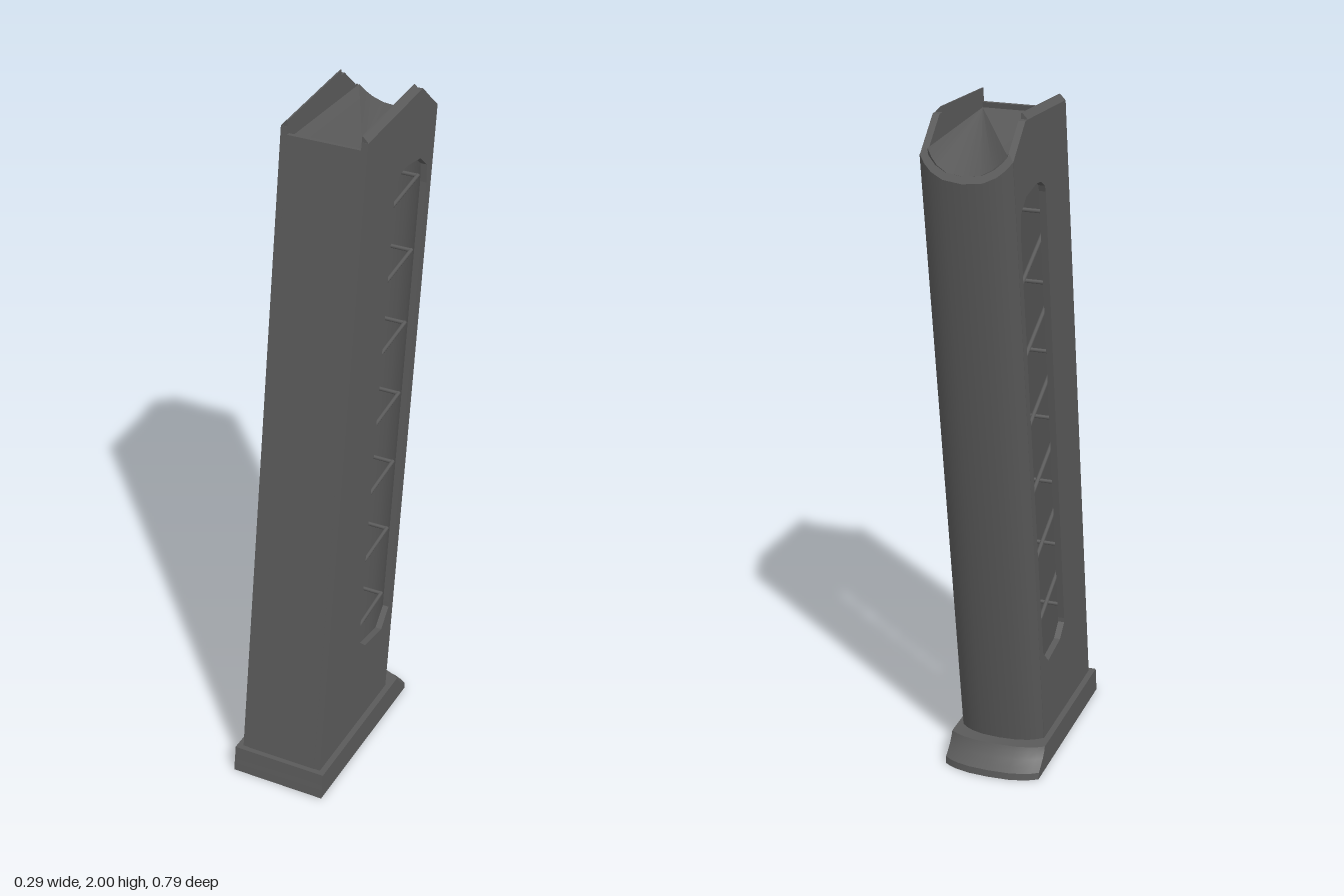
import * as THREE from 'three';
import { toCreasedNormals } from 'three/addons/utils/BufferGeometryUtils.js';

const LEAN = 0.1557; // backward lean of the body per unit of height
const W = 0.127, WALL = 0.019, SKIN = 0.012;
const at = (x, y, u) => new THREE.Vector3(x, y, u - LEAN * y);

// Skin between equal rings of points, with fan caps at both ends
function loft(rings) {
  const n = rings[0].length, tris = [];
  for (let i = 0; i < rings.length - 1; i++) {
    for (let j = 0; j < n; j++) {
      const k = (j + 1) % n, a = rings[i][j], b = rings[i][k], c = rings[i + 1][k], d = rings[i + 1][j];
      tris.push([a, b, c], [a, c, d]);
    }
  }
  const first = rings[0], last = rings[rings.length - 1];
  for (let j = 1; j < n - 1; j++) {
    tris.push([first[0], first[j + 1], first[j]], [last[0], last[j], last[j + 1]]);
  }
  // make the faces point outward
  const mid = first[0].clone().add(last[Math.floor(n / 2)]).multiplyScalar(0.5);
  const rel = (p) => p.clone().sub(mid);
  let volume = 0;
  for (const [a, b, c] of tris) volume += rel(a).dot(rel(b).cross(rel(c)));
  const points = tris.flatMap(([a, b, c]) => (volume < 0 ? [a, c, b] : [a, b, c]));
  const g = new THREE.BufferGeometry().setFromPoints(points);
  g.computeVertexNormals();
  return toCreasedNormals(g, 0.5);
}

// Side profile given as [z, y], extruded across x from xMin to xMax
function across(profile, xMin, xMax, hole) {
  const pts = (list) => list.map(([z, y]) => new THREE.Vector2(z, y));
  const shape = new THREE.Shape(pts(profile));
  if (hole) shape.holes.push(new THREE.Path(pts(hole)));
  const g = new THREE.ExtrudeGeometry(shape, { depth: xMax - xMin, bevelEnabled: false });
  return g.rotateY(-Math.PI / 2).translate(xMax, 0, 0);
}

// Rounded back: x as a fraction of half width, bulge as a fraction of its depth
const BACK = [[1, 0], [0.87, 0.34], [0.7, 0.64], [0.43, 0.9], [0, 1],
  [-0.43, 0.9], [-0.7, 0.64], [-0.87, 0.34], [-1, 0]];

export function createModel() {
  const group = new THREE.Group();
  const steel = new THREE.MeshStandardMaterial({ color: 0x5a5a5a });
  steel.name = 'dark grey steel';
  const add = (name, geometry) => {
    const m = new THREE.Mesh(geometry, steel);
    m.name = name;
    group.add(m);
  };

  // Side walls with a long window, and the folded lips on top
  const wall = [[0.365, 0.07], [0.072, 1.962], [-0.245, 1.984], [-0.265, 1.984], [-0.36, 1.9], [-0.079, 0.07]];
  const window = [[0.105, 0.385], [-0.095, 1.752], [-0.102, 1.77], [-0.135, 1.79], [-0.175, 1.795],
    [-0.257, 1.782], [-0.3, 1.745], [-0.3, 1.69], [-0.097, 0.385], [-0.095, 0.368],
    [-0.045, 0.318], [0.066, 0.334], [0.105, 0.371]];
  for (const side of [1, -1]) {
    const xs = [side * W, side * (W - WALL)].sort((a, b) => a - b);
    add(side > 0 ? 'leftWall' : 'rightWall', across(wall, xs[0], xs[1], window));
    const lip = (y, z) => [[W, 0], [W - WALL, 0], [W - WALL, 0.016], [W - 0.015, 0.016]]
      .map(([x, dy]) => new THREE.Vector3(side * x, y + dy, z));
    add(side > 0 ? 'leftLip' : 'rightLip', loft([lip(1.962, 0.071), lip(1.984, -0.246)]));
  }

  // Front wall
  const inner = W - WALL;
  const frontU = 0.377;
  const zAt = (u, y) => u - LEAN * y;
  add('frontWall', across([
    [zAt(frontU, 0.07), 0.07], [zAt(frontU, 1.94), 1.94],
    [zAt(frontU - SKIN, 1.94), 1.94], [zAt(frontU - SKIN, 0.07), 0.07],
  ], -inner, inner));

  // Rounded back wall with a slanted top edge
  const backTop = (u) => Math.min(1.925, 1.9 + 1.46 * (u + 0.067));
  add('backWall', loft(BACK.map(([fx, b]) => {
    const x = fx * W, u = -0.067 - 0.041 * b, xi = fx * (W - SKIN), ui = u + SKIN;
    return [at(x, 0.07, u), at(xi, 0.07, ui), at(xi, backTop(ui), ui), at(x, backTop(u), u)];
  })));

  // Follower closing the top
  const followerRing = (top) => [[inner, 0.364], ...BACK.map(([fx, b]) => [fx * inner, -0.056 - 0.04 * b]), [-inner, 0.364]]
    .map(([x, u]) => at(x, top ? backTop(u) : 1.8, u));
  add('follower', loft([followerRing(false), followerRing(true)]));

  // Zigzag coil spring
  const coil = [];
  for (let k = 0; k < 8; k++) {
    const y = 1.7 - 0.2167 * k;
    coil.push(at(-0.095, y, -0.045), at(0.095, y, -0.045), at(0.095, y - 0.05, 0.31), at(-0.095, y - 0.05, 0.31));
  }
  coil.unshift(at(-0.095, 1.84, 0.25));
  const path = new THREE.CurvePath();
  for (let i = 0; i < coil.length - 1; i++) path.add(new THREE.LineCurve3(coil[i], coil[i + 1]));
  const up = new THREE.Vector3(0, 1, 0);
  path.curves.forEach((c) => {
    const dir = c.v2.clone().sub(c.v1), length = dir.length();
    const rod = new THREE.CylinderGeometry(0.006, 0.006, length + 0.006, 8);
    rod.applyQuaternion(new THREE.Quaternion().setFromUnitVectors(up, dir.normalize()));
    const mid = c.v1.clone().add(c.v2).multiplyScalar(0.5);
    add('springRod', rod.translate(mid.x, mid.y, mid.z));
  });

  // Floor plate flaring out at the back: height, front, side end, back
  const levels = [[0, 0.392, -0.185, -0.22], [0.02, 0.389, -0.182, -0.217], [0.032, 0.387, -0.165, -0.2],
    [0.048, 0.384, -0.146, -0.182], [0.065, 0.382, -0.133, -0.168], [0.078, 0.38, -0.127, -0.16]];
  add('floorPlate', loft(levels.map(([y, front, sideEnd, back]) => [
    [0.145, front], ...BACK.map(([fx, b]) => [fx * 0.145, sideEnd + (back - sideEnd) * b]), [-0.145, front],
  ].map(([x, z]) => new THREE.Vector3(x, y, z)))));

  return group;
}
